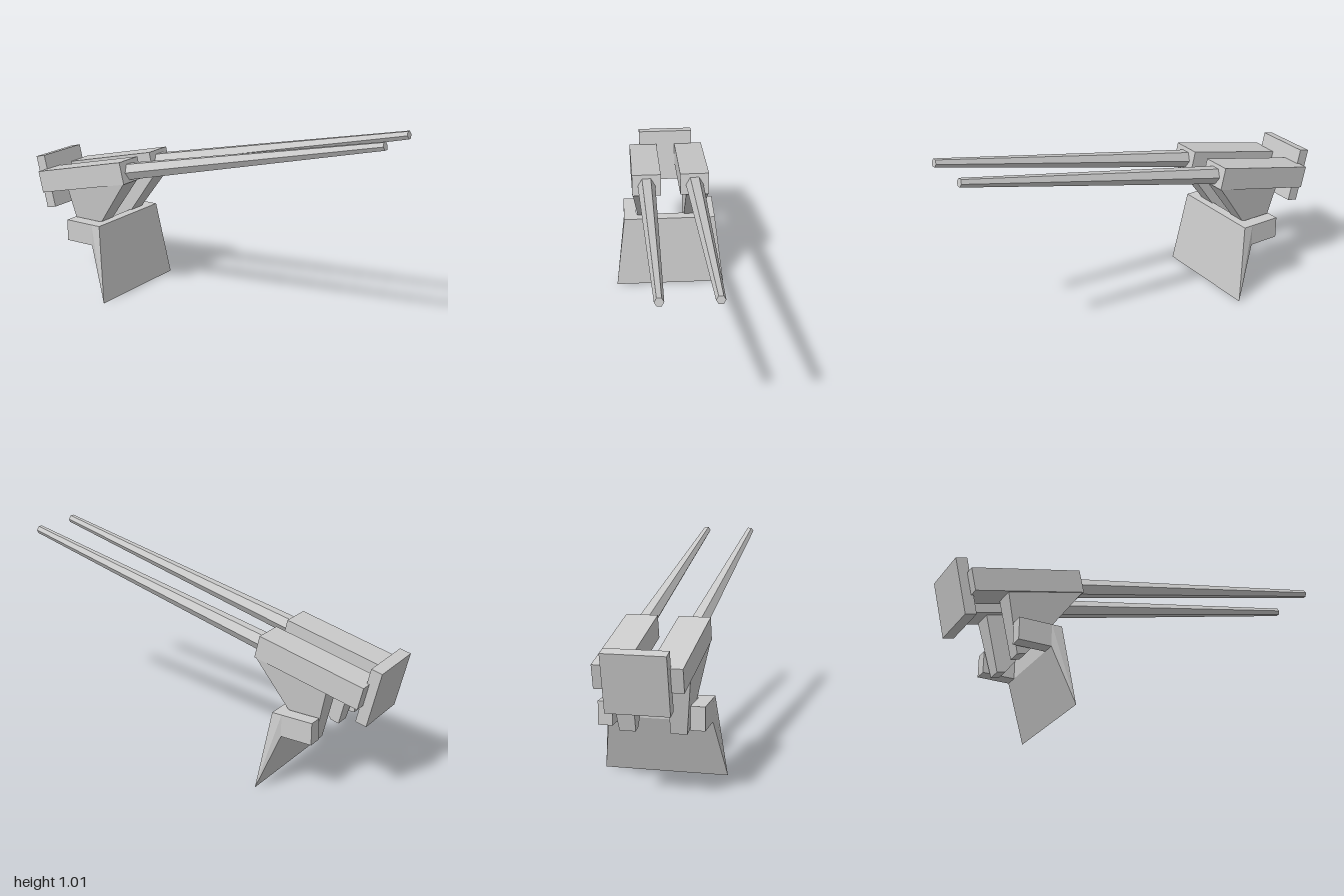
import * as THREE from 'three';
import { ConvexGeometry } from 'three/addons/geometries/ConvexGeometry.js';

const material = new THREE.MeshStandardMaterial({ color: 0xcccccc, flatShading: true });
const PITCH = 0.23; // upward tilt of the guns

function addMesh(parent, name, geometry) {
  const mesh = new THREE.Mesh(geometry, material);
  mesh.name = name;
  parent.add(mesh);
  return mesh;
}

function tiltedBox(parent, name, size, position) {
  const mesh = addMesh(parent, name, new THREE.BoxGeometry(...size));
  mesh.position.set(...position);
  mesh.rotation.z = PITCH;
  return mesh;
}

// Convex solid from side-profile corners [x, y, zMin, zMax]
function slab(parent, name, corners) {
  const points = corners.flatMap(([x, y, z0, z1]) => [
    new THREE.Vector3(x, y, z0), new THREE.Vector3(x, y, z1),
  ]);
  return addMesh(parent, name, new ConvexGeometry(points));
}

export function createModel() {
  const model = new THREE.Group();
  model.name = 'twinGunTurret';

  // Plate joining the rear of both guns
  tiltedBox(model, 'rearPlate', [0.056, 0.28, 0.29], [-0.943, 0.537, 0]);

  // Wedge-shaped shield, wider at its lower edge
  slab(model, 'shield', [
    [-0.507, 0.39, -0.245, 0.245],
    [-0.45, 0, -0.294, 0.294],
    [-0.545, 0.28, -0.245, 0.245],
    [-0.557, 0.28, -0.245, 0.245],
    [-0.557, 0.39, -0.245, 0.245],
  ]);

  for (const side of [1, -1]) {
    const gun = new THREE.Group();
    gun.name = side > 0 ? 'leftGun' : 'rightGun';
    model.add(gun);

    tiltedBox(gun, 'housing', [0.554, 0.113, 0.15], [-0.66, 0.6125, side * 0.125]);

    // Six-sided tapering barrel
    const start = new THREE.Vector3(-0.40, 0.67, side * 0.125);
    const end = new THREE.Vector3(0.994, 0.991, side * 0.125);
    const barrel = addMesh(gun, 'barrel',
      new THREE.CylinderGeometry(0.021, 0.046, start.distanceTo(end), 6));
    barrel.position.copy(start).lerp(end, 0.5);
    barrel.rotation.z = Math.atan2(end.y - start.y, end.x - start.x) - Math.PI / 2;

    // Support leg narrowing down between the side arms
    slab(gun, 'supportLeg', [
      [-0.755, 0.542, side * 0.08, side * 0.189],
      [-0.383, 0.62, side * 0.08, side * 0.197],
      [-0.642, 0.26, side * 0.08, side * 0.157],
      [-0.684, 0.25, side * 0.08, side * 0.156],
    ]);

    // Arm reaching back from the shield
    slab(gun, 'sideArm', [
      [-0.717, 0.39, side * 0.178, side * 0.245],
      [-0.55, 0.39, side * 0.178, side * 0.245],
      [-0.55, 0.28, side * 0.178, side * 0.245],
      [-0.717, 0.28, side * 0.178, side * 0.245],
    ]);
  }
  return model;
}
